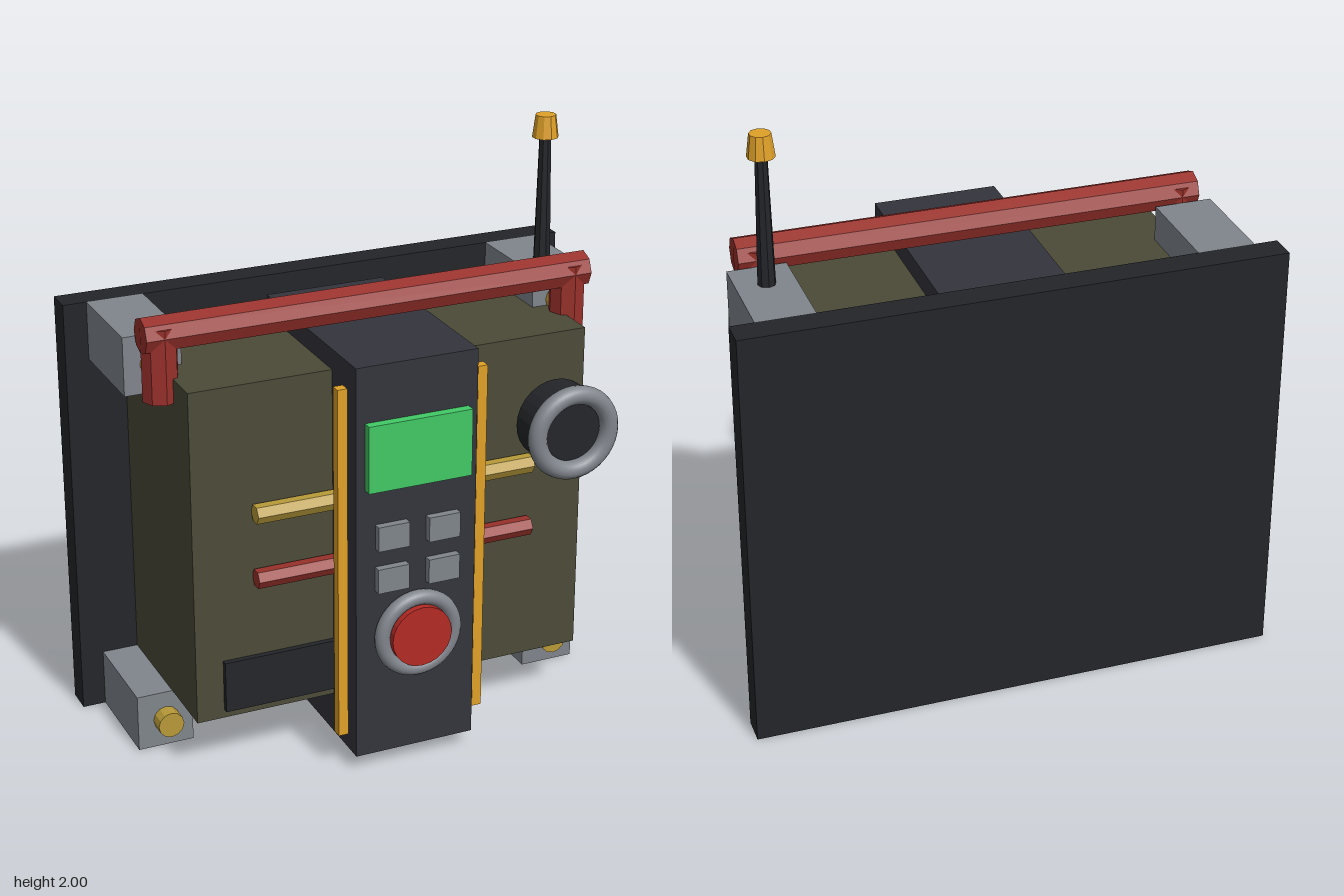
import * as THREE from 'three';

const COLORS = {
  plate: 0x232529, column: 0x34353c, olive: 0x4b4a38, steel: 0x80858c, red: 0x98302a,
  brass: 0xb89a38, amber: 0xdfa028, green: 0x42c966, button: 0xb42a24,
};

export function createModel() {
  const group = new THREE.Group();
  const mats = {};
  const mat = (color, flat) => (mats[color + flat] ??= new THREE.MeshStandardMaterial({ color: COLORS[color], flatShading: flat }));

  const add = (name, geo, color, flat = true) => {
    const mesh = new THREE.Mesh(geo, mat(color, flat));
    mesh.name = name;
    group.add(mesh);
    return mesh;
  };
  // Box given by its extents on each axis
  const box = (name, color, [x0, x1], [y0, y1], [z0, z1]) =>
    add(name, new THREE.BoxGeometry(x1 - x0, y1 - y0, z1 - z0), color)
      .position.set((x0 + x1) / 2, (y0 + y1) / 2, (z0 + z1) / 2);
  // Cylinder centred at a point, lying along the given axis
  const rod = (name, color, axis, r, length, [x, y, z], sides, flat = true, rTop = r) => {
    const geo = new THREE.CylinderGeometry(rTop, r, length, sides);
    if (axis === 'x') geo.rotateZ(-Math.PI / 2);
    if (axis === 'z') geo.rotateX(Math.PI / 2);
    add(name, geo, color, flat).position.set(x, y, z);
  };
  const ring = (name, R, tube, x, y, z) =>
    add(name, new THREE.TorusGeometry(R, tube, 14, 40), 'steel', false).position.set(x, y, z);

  // Main case
  box('backPlate', 'plate', [-0.905, 0.905], [0, 1.49], [-0.465, -0.37]);
  box('body', 'olive', [-0.7, 0.7], [0.2, 1.37], [-0.37, 0.225]);
  box('centerColumn', 'column', [-0.212, 0.212], [0.055, 1.44], [-0.32, 0.41]);
  box('columnMount', 'plate', [-0.14, 0.14], [0.3, 1.4], [-0.37, -0.32]);
  box('lowerPanel', 'plate', [-0.605, -0.2], [0.23, 0.41], [0.22, 0.245]);

  // Corner blocks with bolts, handle posts and trim strips, mirrored
  for (const s of [-1, 1]) {
    const span = (a, b) => (s > 0 ? [a, b] : [-b, -a]);
    for (const y of [0, 1.29]) {
      box('cornerBlock', 'steel', span(0.63, 0.825), [y, y + 0.2], [-0.37, -0.015]);
      rod('bolt', 'brass', 'z', 0.045, 0.06, [s * 0.725, y + 0.1, 0.008], 12);
    }
    rod('handlePost', 'red', 'y', 0.061, 0.25, [s * 0.725, 1.413, 0.045], 8);
    box('trimStrip', 'amber', span(0.228, 0.262), [0.13, 1.365], [0.345, 0.38]);
  }
  rod('handleBar', 'red', 'x', 0.061, 1.57, [0, 1.51, 0.045], 8);

  // Cross rods running behind the column face
  rod('upperRod', 'brass', 'x', 0.033, 0.99, [0, 0.93, 0.253], 6);
  rod('lowerRod', 'red', 'x', 0.033, 0.99, [0, 0.7, 0.253], 6);

  // Controls on the column
  box('screen', 'green', [-0.181, 0.181], [1.02, 1.25], [0.405, 0.442]);
  for (const x of [-0.09, 0.09])
    for (const y of [0.7, 0.85])
      box('key', 'steel', [x - 0.055, x + 0.055], [y - 0.043, y + 0.043], [0.405, 0.437]);
  rod('mainButton', 'button', 'z', 0.106, 0.06, [0, 0.485, 0.435], 24);
  ring('mainButtonRing', 0.128, 0.026, 0, 0.485, 0.43);

  // Side dial
  rod('dial', 'plate', 'z', 0.14, 0.125, [0.575, 1.08, 0.3225], 28);
  ring('dialRing', 0.132, 0.032, 0.575, 1.08, 0.393);

  // Antenna
  rod('antenna', 'plate', 'y', 0.03, 0.46, [0.725, 1.71, -0.135], 8, true, 0.02);
  rod('antennaTip', 'amber', 'y', 0.045, 0.077, [0.725, 1.9615, -0.135], 10, true, 0.035);

  return group;
}
